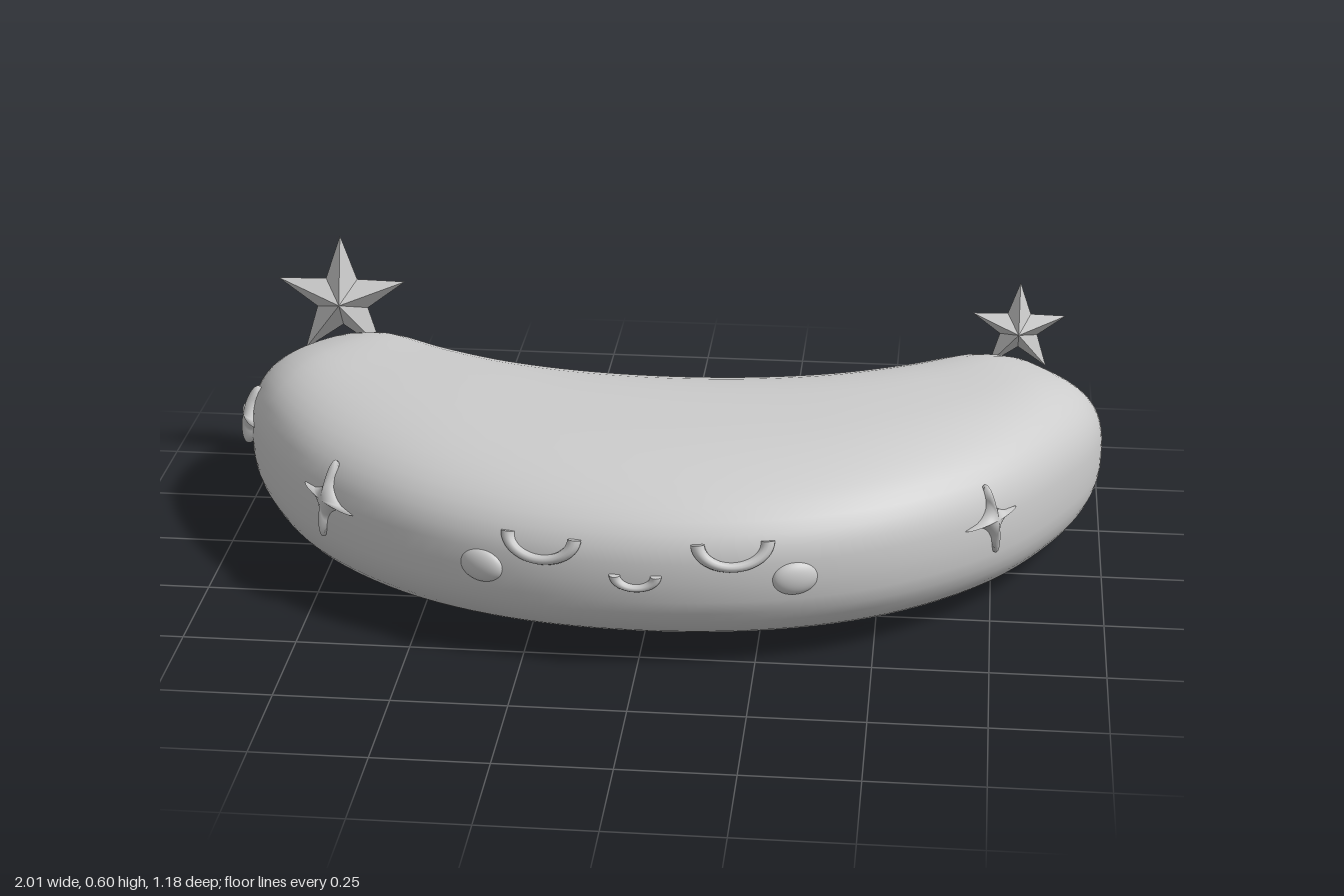
import * as THREE from 'three';
import { mergeGeometries, mergeVertices } from 'three/addons/utils/BufferGeometryUtils.js';

// Half of the crescent, middle to tip: outer x, z, inner x, z, top y, bottom y
const SECTIONS = [
  [0, 0.575, 0, -0.295, 0.425, 0.003],
  [0.30, 0.538, 0.18, -0.305, 0.425, 0.003],
  [0.55, 0.43, 0.35, -0.335, 0.425, 0.003],
  [0.77, 0.24, 0.50, -0.395, 0.42, 0.006],
  [0.92, 0.0, 0.62, -0.46, 0.41, 0.015],
  [0.983, -0.18, 0.71, -0.515, 0.372, 0.032],
  [1.0, -0.34, 0.77, -0.55, 0.31, 0.05],
  [0.985, -0.46, 0.82, -0.58, 0.245, 0.073],
  [0.95, -0.54, 0.865, -0.592, 0.2, 0.1],
  [0.915, -0.578, 0.915, -0.578, 0.148, 0.148],
];

// Loft of rounded cross-sections running from the -x tip to the +x tip
function crescentGeometry() {
  const mirrored = SECTIONS.slice(1).reverse().map(([a, b, c, d, e, f]) => [-a, b, -c, d, e, f]);
  const all = [...mirrored, ...SECTIONS];
  const curve = (f) => new THREE.CatmullRomCurve3(all.map(f));
  const outer = curve((s) => new THREE.Vector3(s[0], 0, s[1]));
  const inner = curve((s) => new THREE.Vector3(s[2], 0, s[3]));
  const heights = curve((s, i) => new THREE.Vector3(i * 0.1, s[4], s[5]));
  const steps = 108, sides = 48, positions = [], index = [];
  const power = (v) => Math.sign(v) * Math.pow(Math.abs(v), 2 / 2.6);
  for (let i = 0; i <= steps; i++) {
    const t = i / steps;
    const o = outer.getPoint(t), n = inner.getPoint(t), h = heights.getPoint(t);
    for (let j = 0; j < sides; j++) {
      const a = (j / sides) * Math.PI * 2;
      const p = n.clone().lerp(o, 0.5 + 0.5 * power(Math.cos(a)));
      positions.push(p.x, (h.y + h.z) / 2 + ((h.y - h.z) / 2) * power(Math.sin(a)), p.z);
      if (i < steps) {
        const k = (j + 1) % sides, A = i * sides, B = A + sides;
        index.push(A + j, B + j, B + k, A + j, B + k, A + k);
      }
    }
  }
  const geometry = new THREE.BufferGeometry();
  geometry.setAttribute('position', new THREE.Float32BufferAttribute(positions, 3));
  geometry.setIndex(index);
  const merged = mergeVertices(geometry, 1e-5);
  merged.computeVertexNormals();
  return merged;
}

// Five-pointed faceted star with a ridge on both faces
function starGeometry(radius, depth) {
  const rim = [], positions = [];
  for (let i = 0; i < 10; i++) {
    const a = Math.PI / 2 + (i * Math.PI) / 5, r = i % 2 ? radius * 0.4 : radius;
    rim.push([Math.cos(a) * r, Math.sin(a) * r, 0]);
  }
  rim.forEach((p, i) => {
    const q = rim[(i + 1) % 10];
    positions.push(0, 0, depth, ...p, ...q, 0, 0, -depth, ...q, ...p);
  });
  const geometry = new THREE.BufferGeometry();
  geometry.setAttribute('position', new THREE.Float32BufferAttribute(positions, 3));
  geometry.computeVertexNormals();
  return geometry;
}

// Puffy four-pointed sparkle: a sphere squeezed between its four points
function sparkleGeometry(radius) {
  const geometry = new THREE.SphereGeometry(1, 64, 16).rotateX(Math.PI / 2);
  const pos = geometry.attributes.position;
  for (let i = 0; i < pos.count; i++) {
    const x = pos.getX(i), y = pos.getY(i), a = Math.atan2(y, x);
    const c = Math.sqrt(Math.abs(Math.cos(a))) + Math.sqrt(Math.abs(Math.sin(a)));
    const r = radius * Math.max(0.36, 1.08 / (c * c) - 0.02);
    pos.setXYZ(i, x * r, y * r, pos.getZ(i) * 0.025);
  }
  geometry.computeVertexNormals();
  return geometry;
}

// Downward-bowed half ring with closed ends
function smileGeometry(radius, tube, squash) {
  const ends = [-radius, radius].map((x) =>
    new THREE.CircleGeometry(tube, 12).rotateX(-Math.PI / 2).translate(x, 0, 0));
  const ring = new THREE.TorusGeometry(radius, tube, 12, 32, Math.PI).rotateZ(Math.PI);
  return mergeGeometries([ring, ...ends]).scale(1, squash, 1);
}

export function createModel() {
  const group = new THREE.Group();
  const grey = new THREE.MeshStandardMaterial({ color: 0xcccccc });
  grey.name = 'softGrey';

  const add = (name, geometry, [x, y, z], yaw = 0, pitch = 0, roll = 0) => {
    const mesh = new THREE.Mesh(geometry, grey);
    mesh.name = name;
    mesh.position.set(x, y, z);
    mesh.rotation.set(pitch, yaw, roll, 'YXZ');
    group.add(mesh);
  };

  add('crescentBody', crescentGeometry(), [0, 0, 0]);

  // Stars standing on the tips
  add('rightTipStar', starGeometry(0.16, 0.046), [-0.81, 0.44, -0.448]);
  add('leftTipStar', starGeometry(0.114, 0.046), [0.797, 0.426, -0.448]);

  // Sleeping face
  for (const [side, s] of [['left', 1], ['right', -1]]) {
    add(side + 'Eye', smileGeometry(0.075, 0.015, 0.7), [s * 0.203, 0.303, 0.543], s * 0.24, -0.3);
    const cheek = new THREE.SphereGeometry(1, 32, 20).scale(0.052, 0.038, 0.022);
    add(side + 'Cheek', cheek, [s * 0.335, 0.218, 0.52], s * 0.4);
  }
  add('mouth', smileGeometry(0.044, 0.012, 0.65), [0, 0.233, 0.577]);

  // Sparkles along the outer curve
  add('leftSparkle', sparkleGeometry(0.076), [0.742, 0.256, 0.262], 0.86, -0.15, 0.08);
  add('rightSparkle', sparkleGeometry(0.088), [-0.705, 0.256, 0.296], -0.8, -0.15, -0.1);
  add('rightTipSparkle', sparkleGeometry(0.07), [-0.974, 0.253, -0.165], -1.27, -0.2, -0.05);

  return group;
}
